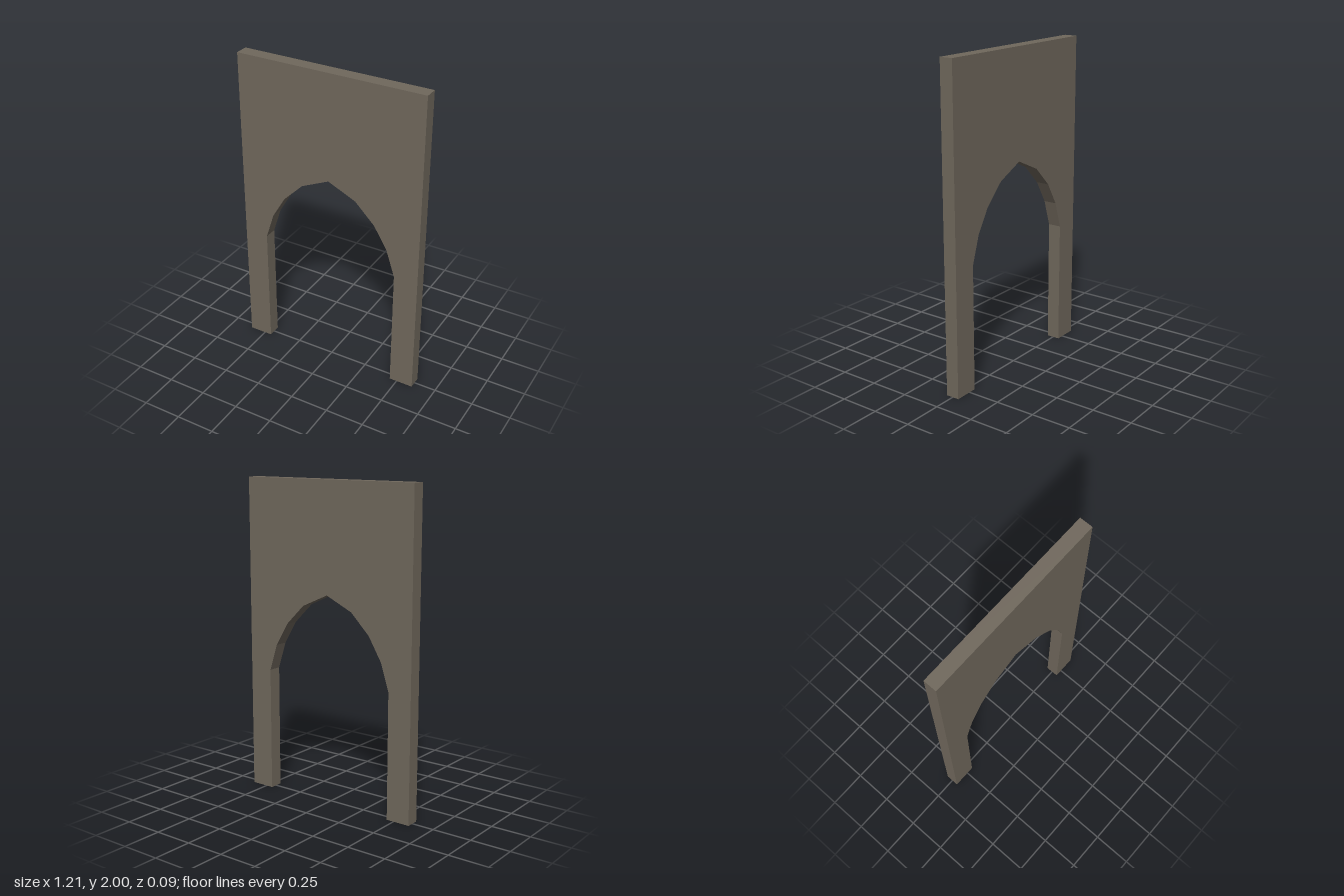
import * as THREE from 'three';

export function createModel() {
  const group = new THREE.Group();
  group.name = 'archedWall';
  const stone = new THREE.MeshStandardMaterial({ color: 0x70685c });
  stone.name = 'grey brown stone';

  const halfWidth = 0.607, height = 2, depth = 0.085;

  // Right half of the pointed opening, from the floor up to just below the apex
  const side = [[0.452, 0], [0.452, 0.79], [0.397, 0.96], [0.31, 1.105], [0.182, 1.232]];
  const apex = [0, 1.315];
  const mirrored = side.map(([x, y]) => [-x, y]).reverse();

  // Wall outline: outer rectangle, then back along the opening
  const outline = [
    [halfWidth, 0], [halfWidth, height], [-halfWidth, height], [-halfWidth, 0],
    ...mirrored.reverse(), apex, ...side.slice().reverse(),
  ];
  const shape = new THREE.Shape(outline.map(([x, y]) => new THREE.Vector2(x, y)));
  const geometry = new THREE.ExtrudeGeometry(shape, { depth, bevelEnabled: false });
  geometry.translate(0, 0, -depth / 2);

  const wall = new THREE.Mesh(geometry, stone);
  wall.name = 'wallWithArch';
  group.add(wall);
  return group;
}
